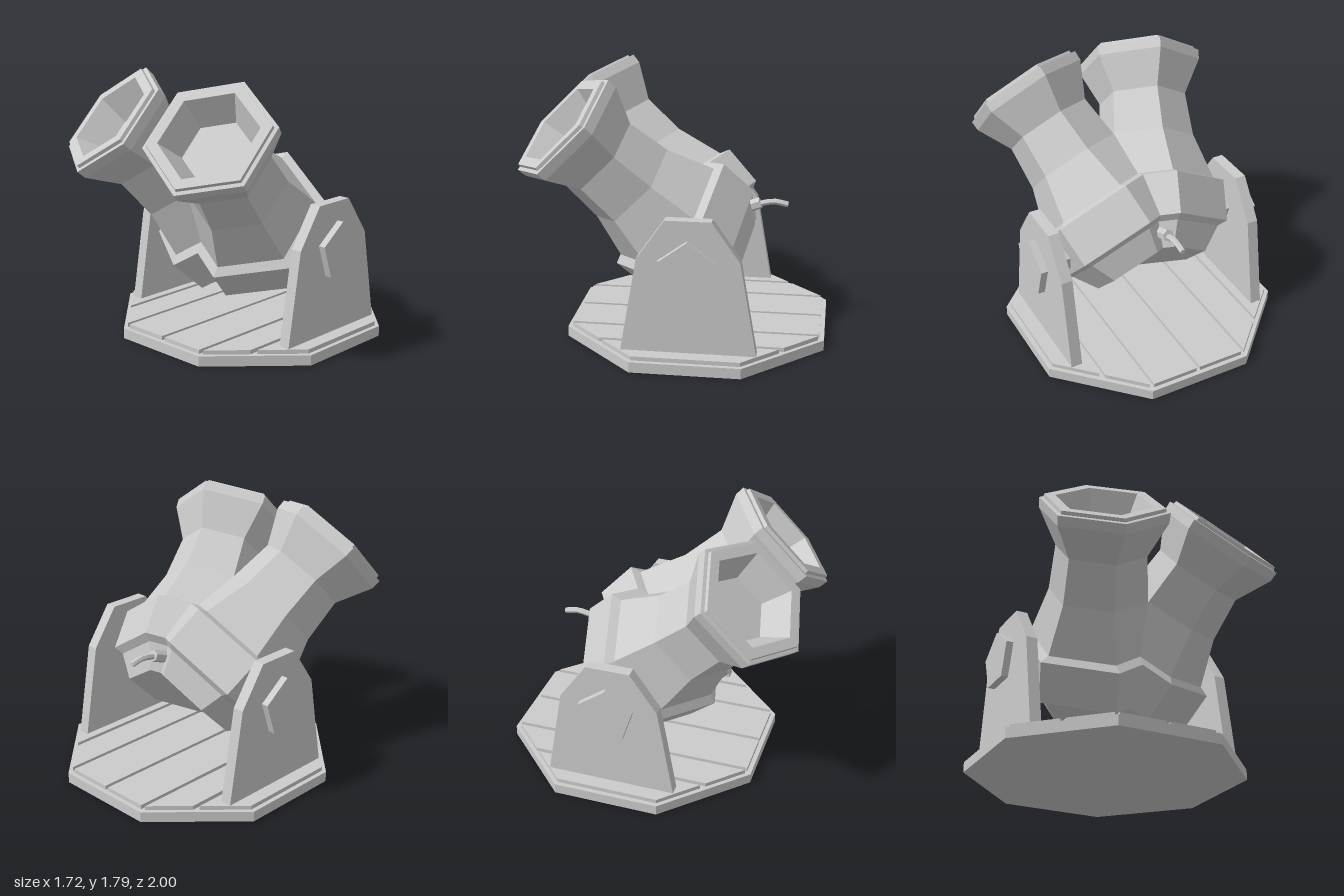
import * as THREE from 'three';

const material = new THREE.MeshStandardMaterial({ color: 0xcccccc, flatShading: true });

function add(parent, name, geometry) {
  const mesh = new THREE.Mesh(geometry, material);
  mesh.name = name;
  parent.add(mesh);
  return mesh;
}

// Flat polygon given thickness along +z
function slab(points, depth) {
  const shape = new THREE.Shape(points.map(([x, y]) => new THREE.Vector2(x, y)));
  return new THREE.ExtrudeGeometry(shape, { depth, bevelEnabled: false });
}

// Five-sided bar lying along x, one corner up
function pentagonBar(radius, length) {
  return new THREE.CylinderGeometry(radius, radius, length, 5).rotateZ(-Math.PI / 2).rotateX(-Math.PI / 2);
}

// Keeps only the part of a geometry on one side of the plane x = 0
function keepSide(geometry, side) {
  const source = geometry.toNonIndexed().attributes.position;
  const kept = [];
  for (let i = 0; i < source.count; i += 3) {
    const corners = [0, 1, 2].map((k) => new THREE.Vector3().fromBufferAttribute(source, i + k));
    const polygon = [];
    corners.forEach((a, k) => {
      const b = corners[(k + 1) % 3];
      if (a.x * side >= 0) polygon.push(a);
      if (a.x * b.x < 0) polygon.push(a.clone().lerp(b, a.x / (a.x - b.x)));
    });
    for (let k = 2; k < polygon.length; k++) kept.push(polygon[0], polygon[k - 1], polygon[k]);
  }
  const result = new THREE.BufferGeometry().setFromPoints(kept);
  result.computeVertexNormals();
  return result;
}

// Barrel outline [radius, distance along axis]: breech, band, neck, collar, muzzle, bore
const barrelProfile = [
  [0, -0.21], [0.34, -0.21], [0.442, -0.048], [0.508, -0.02], [0.51, 0.262], [0.442, 0.288],
  [0.333, 0.605], [0.304, 0.907], [0.425, 1.143], [0.428, 1.21], [0.4, 1.213],
  [0.396, 1.236], [0.322, 1.236], [0.23, 1.04], [0, 1.04],
].map(([r, y]) => new THREE.Vector2(r, y));

export function createModel() {
  const model = new THREE.Group();
  model.name = 'doubleCannon';
  const midZ = -0.14;

  // Octagonal platform
  const base = add(model, 'base', new THREE.CylinderGeometry(0.931, 0.931, 0.07, 8).rotateY(Math.PI / 8));
  base.position.set(0, 0.035, midZ);

  // Deck planks trimmed to the octagon
  const halfDepth = (x) => Math.min(0.83, 1.178 - Math.abs(x));
  const deck = new THREE.Group();
  deck.name = 'deck';
  deck.position.set(0, 0.06, midZ);
  model.add(deck);
  for (const side of [-1, 1]) {
    for (const [inner, outer] of [[0.013, 0.33], [0.357, 0.57], [0.6, 0.83]]) {
      const a = side * inner, b = side * outer;
      const outline = [[a, -halfDepth(a)], [b, -halfDepth(b)], [b, halfDepth(b)], [a, halfDepth(a)]];
      add(deck, 'plank', slab(outline, 0.038).rotateX(-Math.PI / 2));
    }
  }

  // Side supports with axle and pentagonal cap
  const supportOutline = [[-0.44, 0.075], [0.44, 0.075], [0.328, 0.72], [0.147, 0.98], [-0.147, 0.98], [-0.328, 0.72]];
  for (const side of [-1, 1]) {
    const support = new THREE.Group();
    support.name = side > 0 ? 'leftSupport' : 'rightSupport';
    support.position.z = -0.145;
    model.add(support);
    add(support, 'supportPlate', slab(supportOutline, 0.076).translate(0, 0, -0.038).rotateY(Math.PI / 2))
      .position.x = side * 0.696;
    add(support, 'axle', pentagonBar(0.1, 0.3)).position.set(side * 0.63, 0.672, 0);
    add(support, 'axleCap', pentagonBar(0.193, 0.047)).position.set(side * 0.785, 0.671, 0);
  }

  // Two splayed hexagonal barrels, mitred together along the middle
  const cannon = new THREE.Group();
  cannon.name = 'cannon';
  cannon.position.set(0, 0.662, -0.127);
  cannon.rotation.x = Math.PI / 4;
  model.add(cannon);
  for (const side of [-1, 1]) {
    const barrel = new THREE.LatheGeometry(barrelProfile, 6).rotateZ(-side * 0.272).translate(side * 0.118, 0, 0);
    add(cannon, side > 0 ? 'leftBarrel' : 'rightBarrel', keepSide(barrel, side));
  }

  // Fuse holder and curved fuse at the back
  const holder = add(model, 'fuseHolder', new THREE.CylinderGeometry(0.04, 0.04, 0.16, 6));
  holder.position.set(0, 0.862, -0.466);
  holder.rotation.x = -1.2;
  const fusePath = new THREE.CatmullRomCurve3([
    [0.86, -0.48], [0.89, -0.56], [0.902, -0.64], [0.885, -0.725],
  ].map(([y, z]) => new THREE.Vector3(0, y, z)));
  add(model, 'fuse', new THREE.TubeGeometry(fusePath, 6, 0.02, 6));
  const tip = add(model, 'fuseTip', new THREE.CircleGeometry(0.02, 6));
  tip.position.set(0, 0.885, -0.725);
  tip.rotation.y = Math.PI;

  return model;
}
